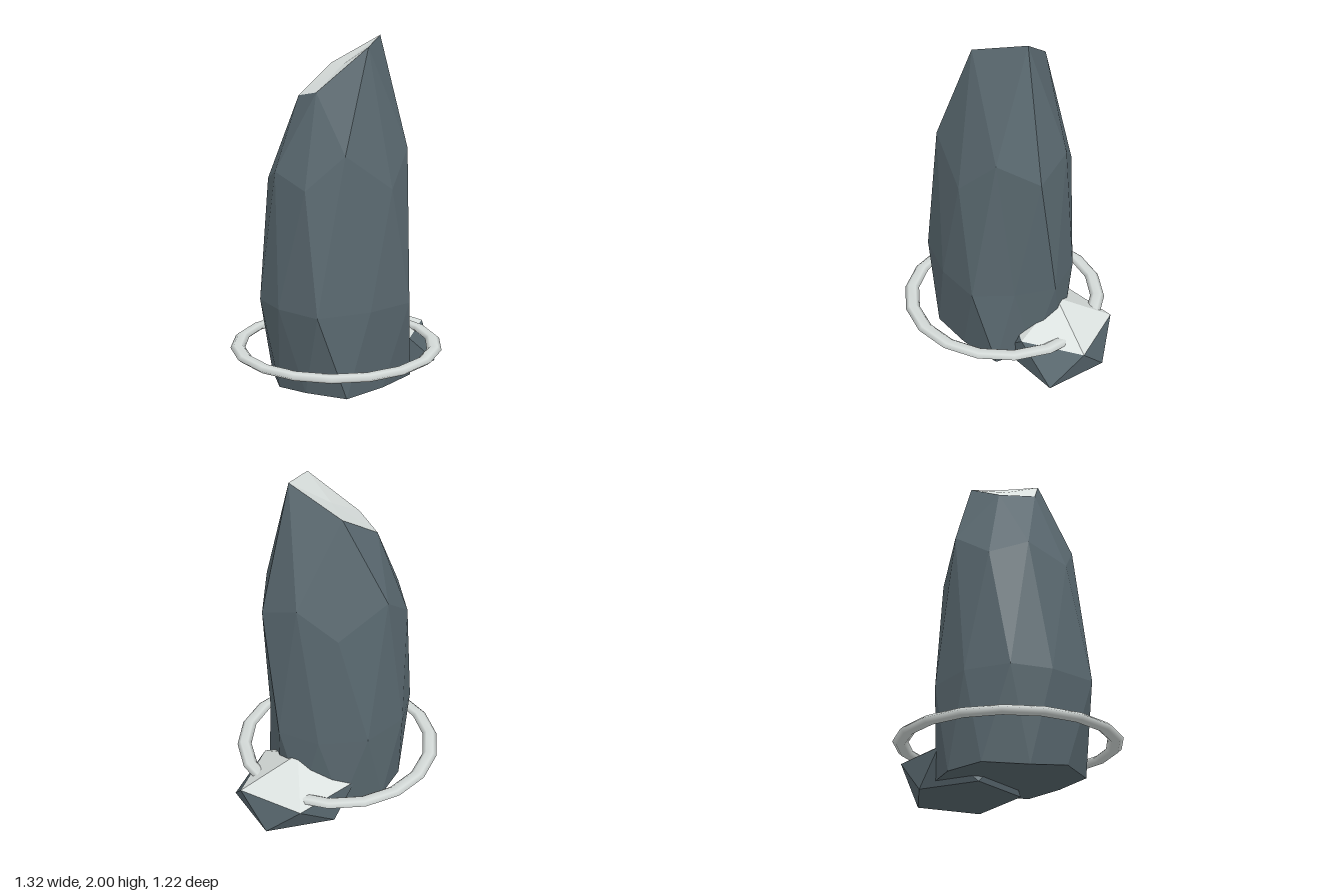
import * as THREE from 'three';
import { ConvexGeometry } from 'three/addons/geometries/ConvexGeometry.js';

const rockMat = new THREE.MeshStandardMaterial({ color: 0x59686f });
rockMat.name = 'slate rock';
const paleMat = new THREE.MeshStandardMaterial({ color: 0xdae0de });
paleMat.name = 'pale cap';
const foamMat = new THREE.MeshStandardMaterial({ color: 0xd4dad8 });
foamMat.name = 'foam ring';

const toVectors = (list) => list.map((c) => new THREE.Vector3(...c));

// Faceted rock: faces looking up take the pale material, the rest the slate one
function rock(name, geo) {
  const p = geo.attributes.position;
  const tri = new THREE.Triangle();
  const n = new THREE.Vector3();
  for (let i = 0; i < p.count; i += 3) {
    tri.setFromAttributeAndIndices(p, i, i + 1, i + 2).getNormal(n);
    geo.addGroup(i, 3, n.y > 0.6 ? 1 : 0);
  }
  const mesh = new THREE.Mesh(geo, [rockMat, paleMat]);
  mesh.name = name;
  return mesh;
}

// Tall leaning pillar: a stretched, uneven sphere of triangles.
// Each ring runs from +x towards +z.
function pillarGeometry() {
  const top = new THREE.Vector3(0, 1.84, 0);
  const cap = toVectors([
    [0.24, 2, 0], [0.04, 1.94, 0.22], [-0.22, 1.7, 0.11], [-0.22, 1.67, -0.11], [0.035, 1.84, -0.21],
  ]);
  const shoulder = toVectors([
    [0.415, 1.27, 0], [0.3, 1.38, 0.21], [0.12, 1.18, 0.35], [-0.17, 1.38, 0.35], [-0.355, 1.19, 0.24],
    [-0.42, 1.27, 0], [-0.37, 1.2, -0.21], [-0.17, 1.37, -0.35], [0.12, 1.2, -0.345], [0.3, 1.36, -0.21],
  ]);
  const waist = toVectors([
    [0.345, 0.52, 0.12], [0.245, 0.52, 0.34], [-0.04, 0.52, 0.4], [-0.35, 0.52, 0.37], [-0.46, 0.52, 0.11],
    [-0.47, 0.52, -0.12], [-0.31, 0.52, -0.32], [-0.04, 0.52, -0.41], [0.23, 0.52, -0.32], [0.39, 0.52, -0.12],
  ]);
  const foot = toVectors([
    [0.345, 0.05, 0], [0.325, 0.04, 0.23], [0.08, 0.04, 0.33], [-0.18, 0.04, 0.385], [-0.35, 0.05, 0.22],
    [-0.41, 0.02, 0], [-0.35, 0.03, -0.235], [-0.17, 0.02, -0.36], [0.1, 0.04, -0.36], [0.3, 0.04, -0.22],
  ]);
  const base = toVectors([
    [0.15, 0.04, 0.12], [-0.1, 0.04, 0.2], [-0.24, 0.04, 0], [-0.1, 0.04, -0.2], [0.15, 0.04, -0.12],
  ]);
  const bottom = new THREE.Vector3(-0.03, 0.04, 0);

  const tris = [];
  // sides
  for (let j = 0; j < 10; j++) {
    const k = (j + 1) % 10;
    tris.push(shoulder[j], shoulder[k], waist[j], waist[j], shoulder[k], waist[k]);
    tris.push(waist[j], waist[k], foot[k], foot[j], waist[j], foot[k]);
  }
  // cap and underside
  for (let k = 0; k < 5; k++) {
    const n = (k + 1) % 5;
    const a = 2 * k, b = a + 1, c = (a + 2) % 10, prev = (a + 9) % 10;
    tris.push(top, cap[n], cap[k], cap[k], cap[n], shoulder[b]);
    tris.push(cap[k], shoulder[b], shoulder[a], cap[k], shoulder[a], shoulder[prev]);
    tris.push(base[k], foot[b], foot[c], base[k], foot[a], foot[b]);
    tris.push(base[k], foot[c], base[n], bottom, base[k], base[n]);
  }
  const geo = new THREE.BufferGeometry().setFromPoints(tris);
  geo.computeVertexNormals();
  return geo;
}

export function createModel() {
  const model = new THREE.Group();
  model.name = 'seaStack';

  model.add(rock('rockPillar', pillarGeometry()));

  // Low boulder leaning against the pillar's back left
  model.add(rock('sideBoulder', new ConvexGeometry(toVectors([
    [0.3, 0.365, -0.18],
    [0.66, 0.21, -0.17], [0.42, 0.21, -0.49], [0.02, 0.2, -0.37], [0.02, 0.2, 0], [0.4, 0.21, 0.1],
    [0.58, 0.01, -0.35], [0.63, 0.01, 0.03], [0.18, 0.01, 0.14], [-0.07, 0.01, -0.17], [0.18, 0.01, -0.43],
    [0.3, 0, -0.17],
  ]))));

  // Flattened six-sided ring around the foot
  const ring = new THREE.Mesh(new THREE.TorusGeometry(0.575, 0.043, 6, 18), foamMat);
  ring.name = 'foamRing';
  ring.rotation.x = Math.PI / 2;
  ring.scale.z = 0.5;
  ring.position.set(-0.042, 0.225, 0);
  model.add(ring);

  return model;
}
